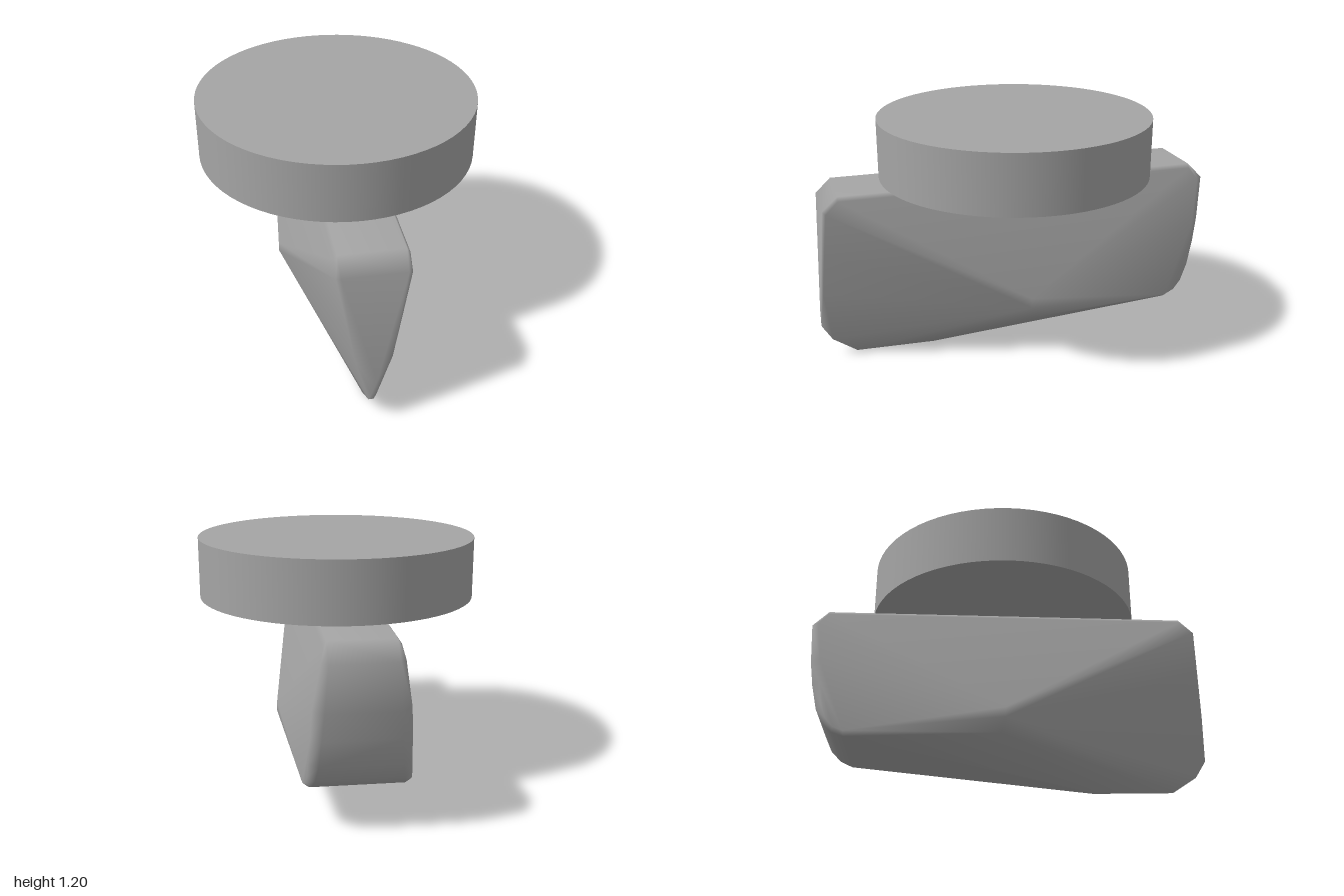
import * as THREE from 'three';
import { ConvexGeometry } from 'three/addons/geometries/ConvexGeometry.js';
import { mergeVertices } from 'three/addons/utils/BufferGeometryUtils.js';

const material = new THREE.MeshStandardMaterial({ color: 0xa5a5a5 });

// Convex solid from the corners of its left half, mirrored in x, shaded smoothly
function mirroredHull(corners) {
  const points = corners.flatMap(([x, y, z]) =>
    [new THREE.Vector3(x, y, z), new THREE.Vector3(-x, y, z)]);
  const hull = new ConvexGeometry(points);
  hull.deleteAttribute('normal');
  const geometry = mergeVertices(hull, 1e-4);
  geometry.computeVertexNormals();
  return geometry;
}

export function createModel() {
  const group = new THREE.Group();

  // Round plate
  const plate = new THREE.Mesh(new THREE.CylinderGeometry(0.683, 0.683, 0.295, 72), material);
  plate.name = 'roundPlate';
  plate.position.set(0, 1.0475, -0.02);
  group.add(plate);

  // Wedge-shaped grip: pointed keel at the front, broad flat end at the back
  const corners = [
    // front top bevel
    [0.15, 0.9, 0.89], [0.165, 0.88, 0.89], [0.165, 0.82, 0.95], [0.145, 0.83, 0.965],
    // bowed front edges
    [0.125, 0.6, 0.968], [0.085, 0.38, 0.984],
    // front point and keel
    [0.015, 0.25, 1], [0.012, 0.17, 1], [0.012, 0.09, 0.95], [0.015, 0.01, 0.83], [0.015, 0, 0.43],
    // widest point of the flank
    [0.31, 0.32, -0.02], [0.31, 0.27, -0.02], [0.28, 0.2, -0.04],
    // back top bevel
    [0.15, 0.9, -0.92], [0.165, 0.88, -0.92], [0.178, 0.82, -0.965], [0.15, 0.82, -1],
  ];
  // rounded lower back edge: y, z of the curve
  const backCurve = [[0.6, -0.985], [0.47, -0.965], [0.34, -0.935], [0.265, -0.9], [0.215, -0.85], [0.19, -0.79]];
  backCurve.forEach(([y, z], i) => {
    const t = i / (backCurve.length - 1);
    corners.push([0.165 + 0.055 * t, y, z], [0.215 + 0.03 * t, y + 0.02 * t, z + 0.05 * (1 - t)]);
  });
  const grip = new THREE.Mesh(mirroredHull(corners), material);
  grip.name = 'grip';
  group.add(grip);

  return group;
}
